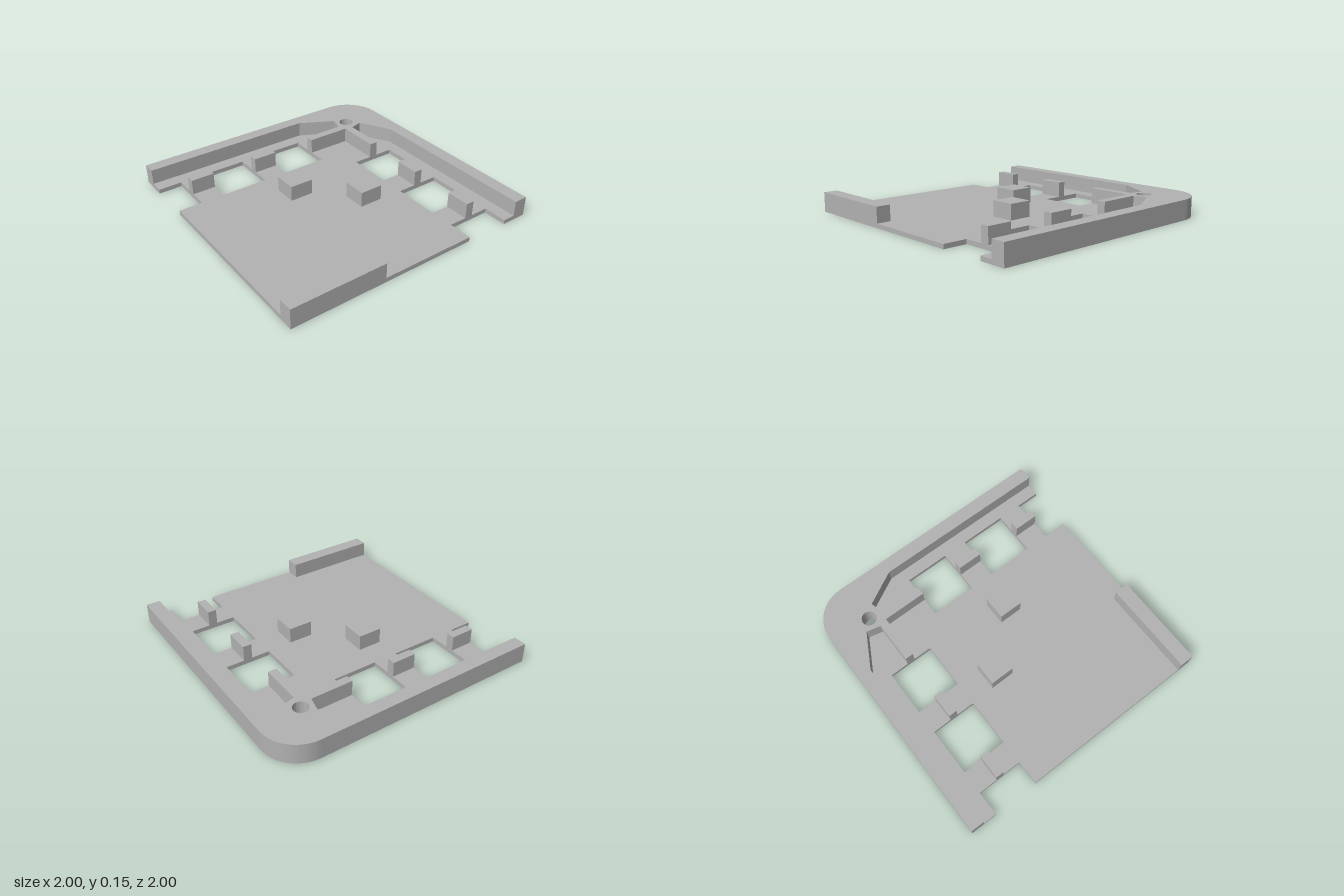
import * as THREE from 'three';

const FLOOR = 0.033; // floor plate thickness
const TOP = 0.15;    // overall height
const CORNER = 0.27; // rounded corner radius
const HOLE = { x: 0.675, z: -0.685, r: 0.056 };

export function createModel() {
  const group = new THREE.Group();
  const grey = new THREE.MeshStandardMaterial({ color: 0xb2b2b2 });
  grey.name = 'plain grey';
  grey.flatShading = true;

  const add = (name, geometry) => {
    const mesh = new THREE.Mesh(geometry, grey);
    mesh.name = name;
    group.add(mesh);
  };

  // Plan outline that shares the rounded back corner; rest lists x, z points after it.
  const plan = (rest) => {
    const s = new THREE.Shape();
    s.moveTo(-1, 1);
    s.lineTo(1 - CORNER, 1);
    s.absarc(1 - CORNER, 1 - CORNER, CORNER, Math.PI / 2, 0, true);
    rest.forEach(([x, z]) => s.lineTo(x, -z));
    s.closePath();
    const hole = new THREE.Path();
    hole.absarc(HOLE.x, -HOLE.z, HOLE.r, 0, Math.PI * 2, false);
    s.holes.push(hole);
    return s;
  };

  const extrude = (shape, y0, y1) => {
    const g = new THREE.ExtrudeGeometry(shape, { depth: y1 - y0, bevelEnabled: false, curveSegments: 10 });
    g.rotateX(-Math.PI / 2);
    g.translate(0, y0, 0);
    return g;
  };

  // Block standing on the floor, given by its plan extents.
  const block = (name, x0, x1, z0, z1) => {
    const g = new THREE.BoxGeometry(x1 - x0, TOP - FLOOR, z1 - z0);
    g.translate((x0 + x1) / 2, (TOP + FLOOR) / 2, (z0 + z1) / 2);
    add(name, g);
  };

  // Floor plate with two edge notches, four square windows and the screw hole
  const floor = plan([
    [1, 1], [0.8, 1], [0.8, 0.82], [0.455, 0.82], [0.455, 1],
    [-1, 1], [-1, -0.45], [-0.82, -0.45], [-0.82, -0.797], [-1, -0.797],
  ]);
  const windows = [
    [-0.64, -0.28, -0.797, -0.45], [-0.095, 0.253, -0.797, -0.45],
    [0.455, 0.8, -0.255, 0.09], [0.455, 0.8, 0.28, 0.637],
  ];
  for (const [x0, x1, z0, z1] of windows) {
    const p = new THREE.Path();
    p.moveTo(x0, -z0);
    p.lineTo(x0, -z1);
    p.lineTo(x1, -z1);
    p.lineTo(x1, -z0);
    p.closePath();
    floor.holes.push(p);
  }
  add('floorPlate', extrude(floor, 0, FLOOR));

  // Rim walls joined at the solid corner, with the two inner ridges running from it
  add('rim', extrude(plan([
    [1, 1], [0.895, 1], [0.895, -0.355], [0.76, -0.605], [0.66, -0.578],
    [0.66, -0.255], [0.595, -0.255], [0.595, -0.59], [0.253, -0.59],
    [0.253, -0.652], [0.575, -0.652], [0.6, -0.76], [0.34, -0.9], [-1, -0.9],
  ]), FLOOR, TOP));

  // Short ridges between the windows
  for (const [a, b] of [[-0.82, -0.64], [-0.28, -0.095]]) block('backRidge', a, b, -0.652, -0.59);
  for (const [a, b] of [[0.09, 0.28], [0.637, 0.82]]) block('sideRidge', 0.595, 0.66, a, b);

  // Front wall stub and the two posts in the middle
  block('frontWall', -1, -0.28, 0.893, 1);
  block('post', -0.275, -0.095, -0.268, -0.087);
  block('post', 0.09, 0.27, 0.095, 0.275);

  return group;
}
